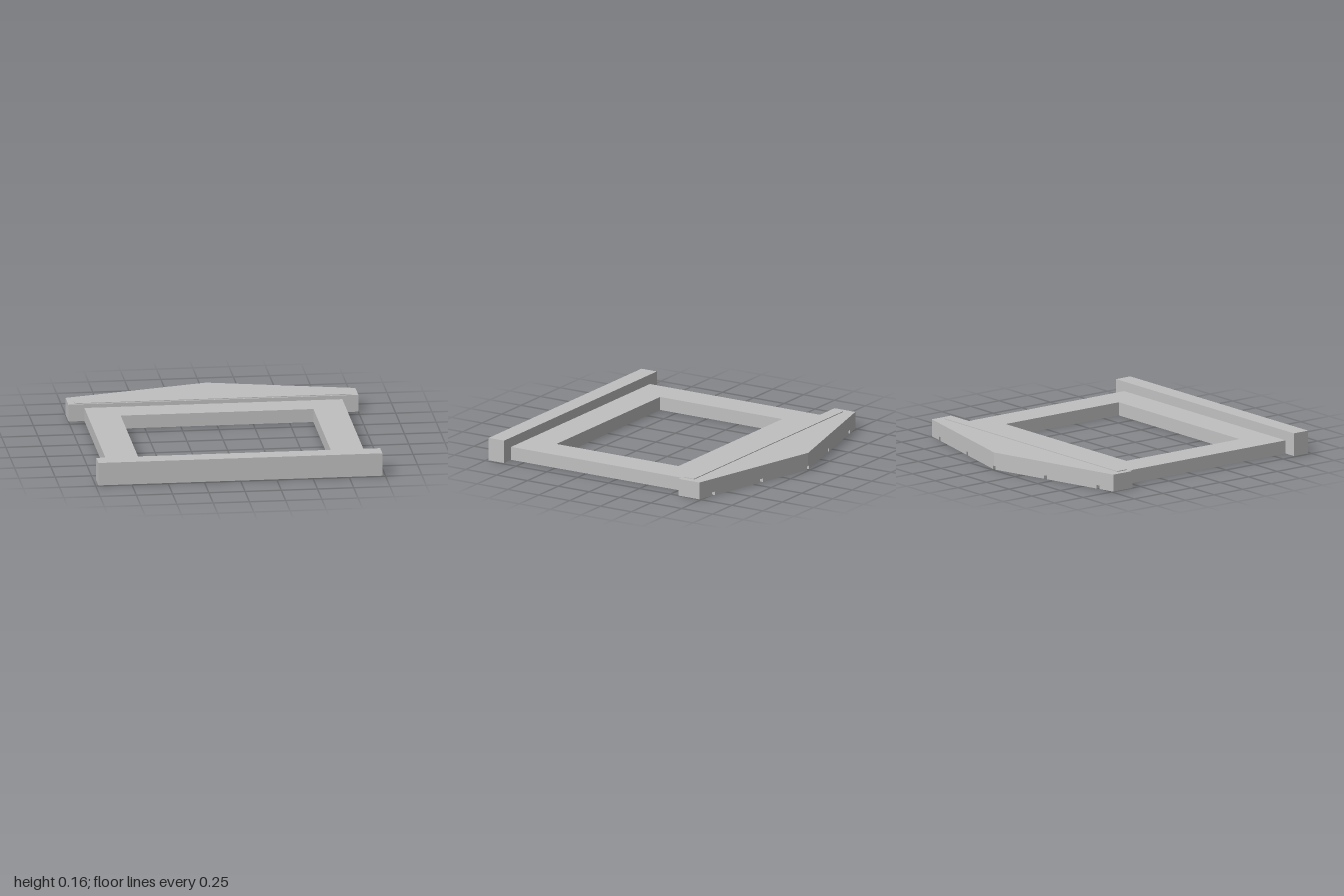
import * as THREE from 'three';

const grey = new THREE.MeshStandardMaterial({ color: 0xc0c0c0 });
grey.name = 'plainGrey';

// Plan shapes use (x, -z); extrusion runs upward from y0 to y1.
function slab(name, shape, y0, y1) {
  const geo = new THREE.ExtrudeGeometry(shape, { depth: y1 - y0, bevelEnabled: false, curveSegments: 16 });
  geo.rotateX(-Math.PI / 2).translate(0, y0, 0);
  const mesh = new THREE.Mesh(geo, grey);
  mesh.name = name;
  return mesh;
}

function polygon(points) {
  return new THREE.Shape(points.map(([x, y]) => new THREE.Vector2(x, y)));
}

function rect(halfWidth, zBack, zFront) {
  return polygon([[-halfWidth, -zFront], [halfWidth, -zFront], [halfWidth, -zBack], [-halfWidth, -zBack]]);
}

const gableEdge = (x) => 0.985 - 0.25 * Math.abs(x);

// Gable outline, optionally with small drain notches and round sockets
function gable(notched, sockets) {
  const points = [[-1, 0.567], [1, 0.567], [1, 0.735]];
  if (notched) {
    const h = 0.013, depth = 0.035;
    for (const x of [0.87, 0.43, 0, -0.43, -0.87]) {
      const inner = gableEdge(x) - depth;
      points.push([x + h, gableEdge(x + h)], [x + h, inner], [x - h, inner], [x - h, gableEdge(x - h)]);
    }
  } else {
    points.push([0, 0.985]);
  }
  points.push([-1, 0.735]);
  const shape = polygon(points);
  if (sockets) {
    for (const x of [-0.83, 0, 0.83]) {
      shape.holes.push(new THREE.Path().absarc(x, 0.66, 0.045, 0, Math.PI * 2, true));
    }
  }
  return shape;
}

export function createModel() {
  const model = new THREE.Group();
  model.name = 'windowSurround';

  // Flat frame with its rectangular opening
  const frame = rect(0.89, -0.567, 0.86);
  frame.holes.push(rect(0.665, -0.355, 0.635));
  model.add(slab('frame', frame, 0, 0.093));

  // Deeper sill bar along the front
  model.add(slab('sill', rect(0.98, 0.86, 0.985), 0, 0.16));

  // Pediment in three layers: notched base, socket layer, solid top
  const pediment = new THREE.Group();
  pediment.name = 'pediment';
  pediment.add(
    slab('pedimentBase', gable(true, true), 0, 0.025),
    slab('pedimentCore', gable(false, true), 0.025, 0.08),
    slab('pedimentTop', gable(false, false), 0.08, 0.12),
    slab('raisedStrip', rect(0.955, -0.665, -0.58), 0.12, 0.125)
  );
  model.add(pediment);

  return model;
}
